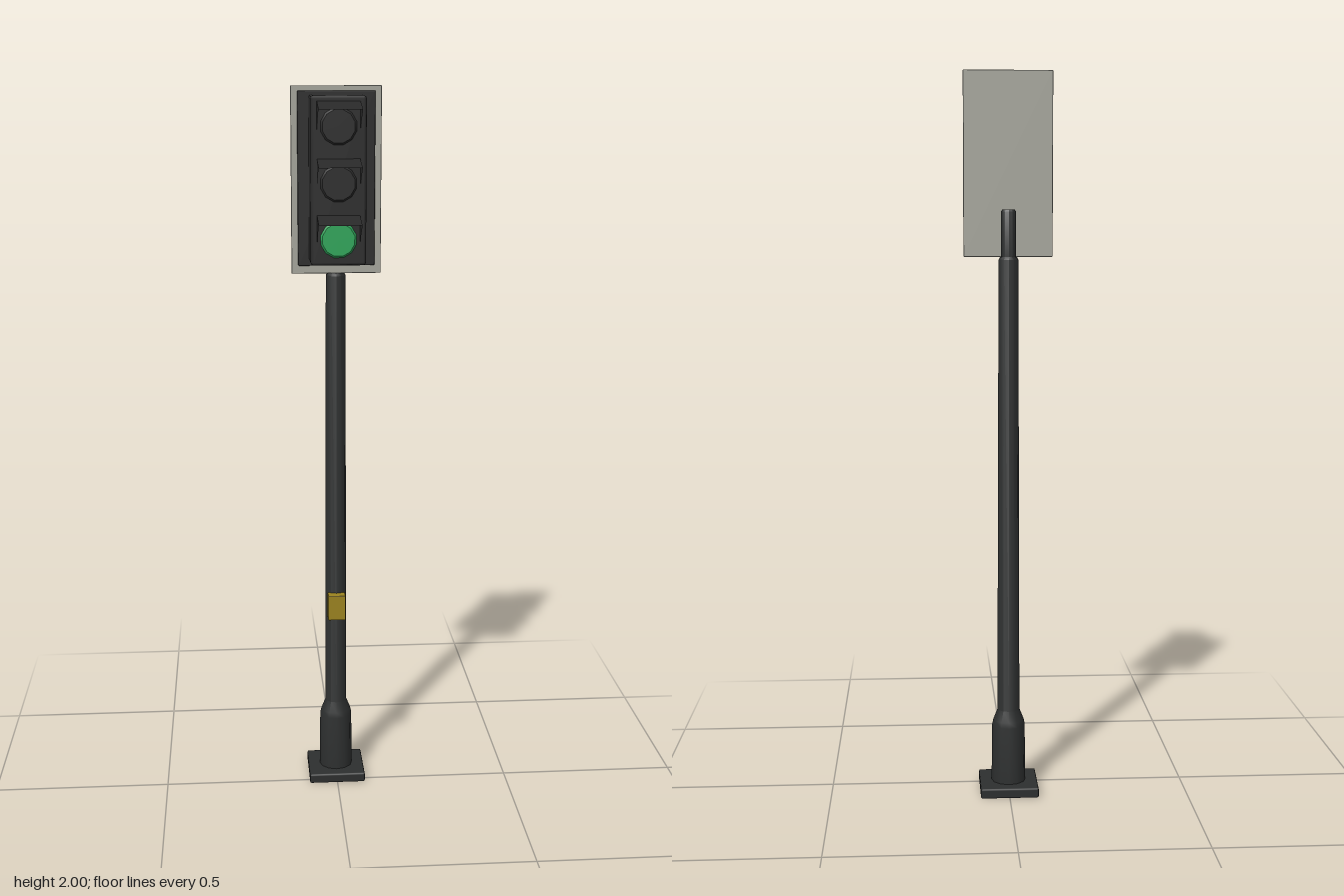
import * as THREE from 'three';
import { toCreasedNormals } from 'three/addons/utils/BufferGeometryUtils.js';
import { RoundedBoxGeometry } from 'three/addons/geometries/RoundedBoxGeometry.js';

const material = (name, color, side = THREE.FrontSide) => {
  const m = new THREE.MeshStandardMaterial({ color, side });
  m.name = name;
  return m;
};

export function createModel() {
  const model = new THREE.Group();
  model.name = 'trafficLight';

  const poleBlack = material('pole black', 0x2d2f2f);
  const housingBlack = material('housing black', 0x2b2b2b);
  const visorBlack = material('visor black', 0x292929, THREE.DoubleSide);
  const plateGrey = material('plate grey', 0xa6a69c);
  const lampGreen = material('lamp green', 0x2fa65a);
  const buttonYellow = material('button yellow', 0x9c8420);

  const add = (name, geometry, mat, x = 0, y = 0, z = 0, parent = model) => {
    const mesh = new THREE.Mesh(geometry, mat);
    mesh.name = name;
    mesh.position.set(x, y, z);
    parent.add(mesh);
    return mesh;
  };

  // Box given by its extents in y and z, centred on x = 0
  const block = (name, w, y0, y1, z0, z1, mat, radius) =>
    add(name, new RoundedBoxGeometry(w, y1 - y0, z1 - z0, 1, radius), mat,
      0, (y0 + y1) / 2, (z0 + z1) / 2);

  // Foot plate and tapering post with a wide collar
  const poleZ = -0.056;
  block('footPlate', 0.162, 0, 0.028, -0.137, 0.025, poleBlack, 0.005);
  const profile = [
    [0, 0.02], [0.048, 0.02], [0.046, 0.19], [0.043, 0.205], [0.031, 0.235],
    [0.027, 1.495], [0.023, 1.503], [0.02, 1.503], [0.02, 1.625], [0.017, 1.63], [0, 1.63],
  ].map(([r, y]) => new THREE.Vector2(r, y));
  add('post', toCreasedNormals(new THREE.LatheGeometry(profile, 12), 0.6), poleBlack, 0, 0, poleZ);

  // Push button box on the post
  block('pushButton', 0.05, 0.503, 0.577, -0.035, -0.002, buttonYellow, 0.002);

  // Back board, dark mounting plate and lamp housing
  block('backBoard', 0.243, 1.503, 2, -0.04, -0.033, plateGrey, 0.002);
  block('mountingPlate', 0.208, 1.525, 1.987, -0.034, -0.025, housingBlack, 0.003);
  block('housing', 0.148, 1.536, 1.977, -0.03, 0.057, housingBlack, 0.008);

  // Visor: sloping roof and two triangular cheeks, open underneath
  const halfW = 0.057, depth = 0.078;
  const visorGeometry = () => {
    const back = [0.018, 0], tip = [0, depth], low = [-0.055, 0];
    const p = (x, [y, z]) => [x, y, z];
    const roof = [p(-halfW, back), p(-halfW, tip), p(halfW, tip),
      p(-halfW, back), p(halfW, tip), p(halfW, back)];
    const cheeks = [p(halfW, back), p(halfW, tip), p(halfW, low),
      p(-halfW, back), p(-halfW, low), p(-halfW, tip)];
    const g = new THREE.BufferGeometry();
    g.setAttribute('position', new THREE.Float32BufferAttribute([...roof, ...cheeks].flat(), 3));
    g.computeVertexNormals();
    return g;
  };

  // Three lamps, only the lowest one lit
  ['topLamp', 'middleLamp', 'bottomLamp'].forEach((name, i) => {
    const lamp = new THREE.Group();
    lamp.name = name;
    lamp.position.set(0, 1.945 - i * 0.147, 0.057);
    model.add(lamp);
    add('visor', visorGeometry(), visorBlack, 0, 0, 0, lamp);
    const lens = new THREE.CylinderGeometry(0.044, 0.05, 0.006, 12);
    lens.rotateY(Math.PI / 12).rotateX(Math.PI / 2);
    add('lens', toCreasedNormals(lens, 0.5), i === 2 ? lampGreen : housingBlack, 0, -0.046, 0.002, lamp);
  });

  return model;
}
